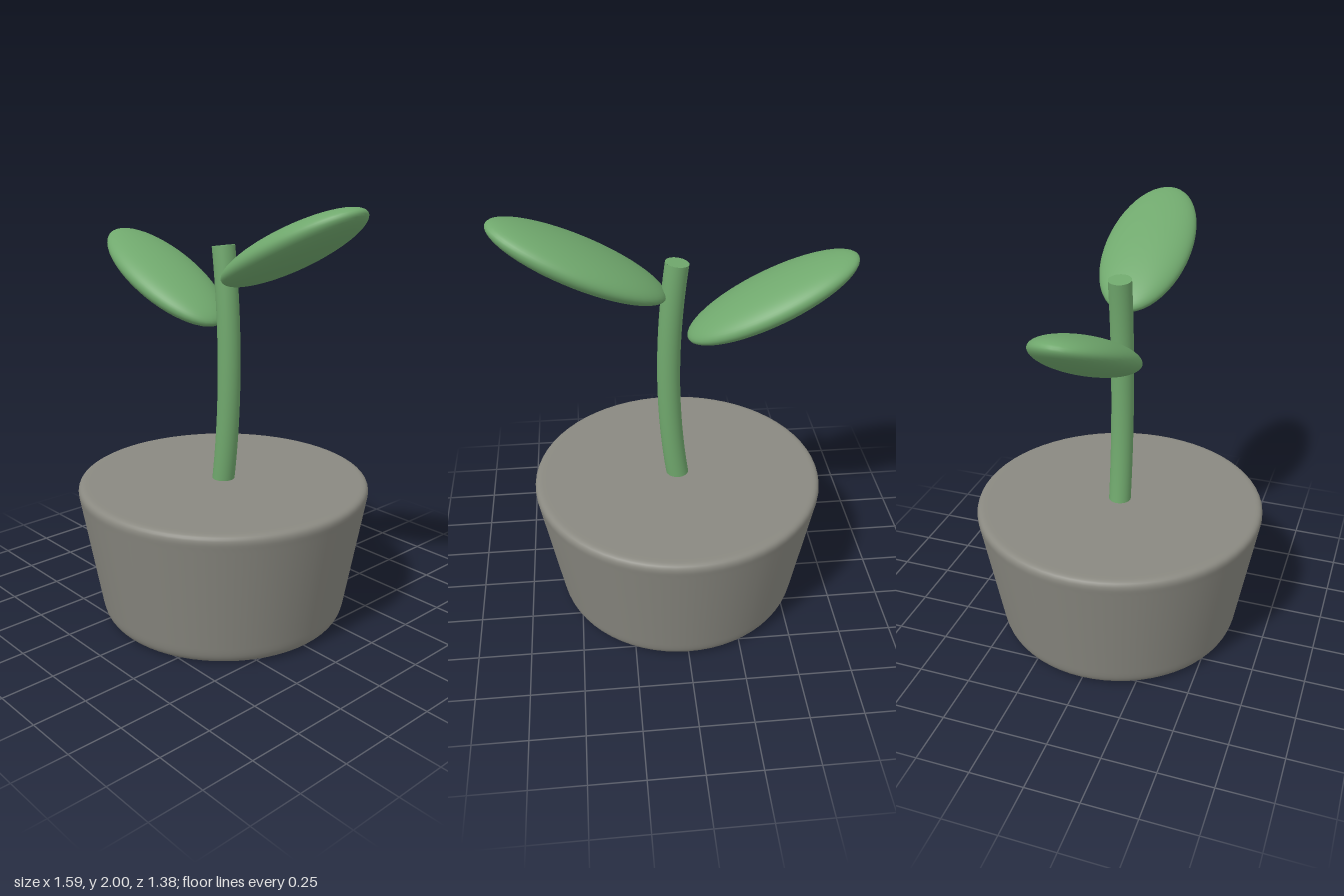
import * as THREE from 'three';

const POT_TOP = 0.67;

export function createModel() {
  const stone = new THREE.MeshStandardMaterial({ color: 0x8a8981 });
  stone.name = 'stoneGrey';
  const green = new THREE.MeshStandardMaterial({ color: 0x70a86d });
  green.name = 'leafGreen';

  const model = new THREE.Group();
  model.name = 'pottedSprout';
  const add = (name, geometry, material) => {
    const mesh = new THREE.Mesh(geometry, material);
    mesh.name = name;
    model.add(mesh);
    return mesh;
  };

  // Solid tapered pot with softly rounded rims
  const v = (x, y) => new THREE.Vector2(x, y);
  const round = (a, corner, b) => new THREE.QuadraticBezierCurve(a, corner, b).getPoints(8);
  const profile = [
    v(0, 0), v(0.52, 0),
    ...round(v(0.535, 0), v(0.58, 0), v(0.592, 0.065)),
    v(0.596, 0.085), v(0.684, 0.59),
    ...round(v(0.688, 0.613), v(0.703, POT_TOP), v(0.655, POT_TOP)),
    v(0.64, POT_TOP), v(0, POT_TOP),
  ];
  add('pot', new THREE.LatheGeometry(profile, 64), stone);

  // Curved stem, bowed towards +x
  const stemRadius = 0.053;
  const curve = new THREE.QuadraticBezierCurve3(
    new THREE.Vector3(-0.002, POT_TOP - 0.015, 0),
    new THREE.Vector3(0.08, 1.21, 0),
    new THREE.Vector3(0, 1.78, 0),
  );
  add('stem', new THREE.TubeGeometry(curve, 24, stemRadius, 32, false), green);

  // Flat cap square to the stem's end
  const cap = add('stemTip', new THREE.CircleGeometry(stemRadius, 32), green);
  cap.position.copy(curve.getPoint(1));
  cap.quaternion.setFromUnitVectors(new THREE.Vector3(0, 0, 1), curve.getTangent(1));

  // Two flattened ellipsoid leaves rising outwards
  const leafGeometry = new THREE.SphereGeometry(1, 48, 32);
  for (const [name, side, y] of [['leftLeaf', 1, 1.803], ['rightLeaf', -1, 1.595]]) {
    const leaf = add(name, leafGeometry, green);
    leaf.scale.set(0.415, 0.083, 0.207);
    leaf.position.set(side * 0.42, y, 0);
    leaf.rotation.z = side * 0.457;
  }

  return model;
}
